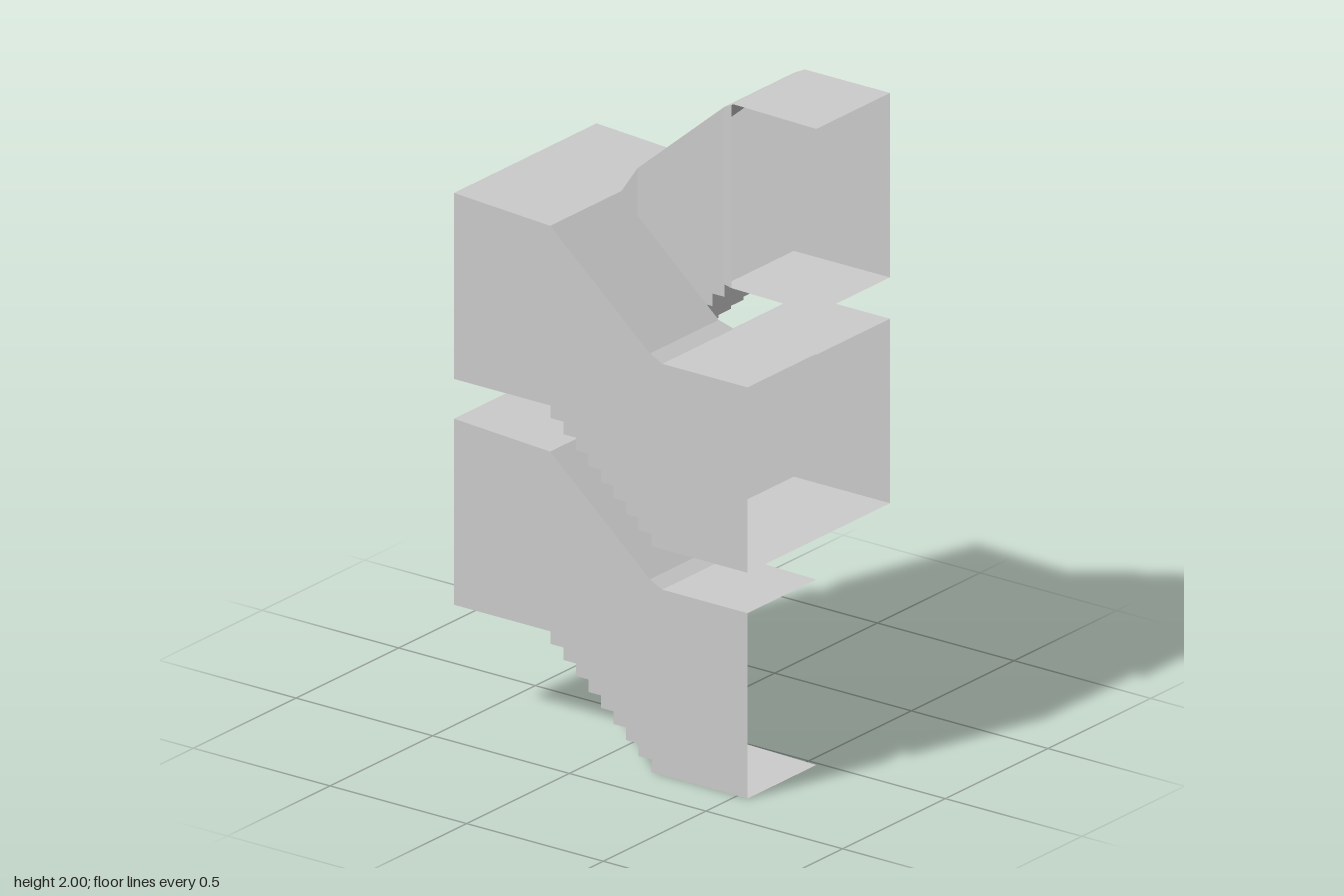
import * as THREE from 'three';

const material = new THREE.MeshStandardMaterial({ color: 0xcccccc, flatShading: true, side: THREE.DoubleSide });

const HALF_WIDTH = 0.347, END = 0.537;      // stairwell half width and half depth
const STEPS = 9, FOOT = 0.185, TREAD = 0.046, RISE = 0.355 / STEPS;
const STOREY = 0.71;

// Ceiling lines as [z, y], from back to front
const CEILING = {
  left: [[-END, 0.94], [-0.185, 0.92], [0.18, 0.605], [0.225, 0.583], [END, 0.583]],
  right: [[-END, 0.94], [-0.185, 0.92], [-0.135, 1.0], [0.185, 1.27], [0.225, 1.29], [END, 1.29]],
};
// Half width of the slit between the flights, with pointed ends
const SLIT = [[-END, 0], [-0.185, 0], [-0.135, 0.012], [0.18, 0.012], [0.217, 0], [END, 0]];
// Sideways drift of the dividing line on the front landings
const DRIFT = [[-END, 0], [0.217, 0], [END, -0.012]];

// Linear interpolation along a list of [z, value]
function along(line, z) {
  for (let i = 1; i < line.length; i++) {
    const [z0, v0] = line[i - 1], [z1, v1] = line[i];
    if (z <= z1) return v0 + (v1 - v0) * Math.max(0, (z - z0) / (z1 - z0));
  }
  return line[line.length - 1][1];
}

// One mesh from a list of four-cornered faces
function quadMesh(name, quads) {
  const positions = quads.flatMap(([a, b, c, d]) => [a, b, c, a, c, d].flat());
  const geometry = new THREE.BufferGeometry();
  geometry.setAttribute('position', new THREE.Float32BufferAttribute(positions, 3));
  geometry.computeVertexNormals();
  const mesh = new THREE.Mesh(geometry, material);
  mesh.name = name;
  return mesh;
}

// One flight with its half landings; left climbs to the back, right to the front
function createFlight(side) {
  const sign = side === 'left' ? -1 : 1;
  const outer = sign * HALF_WIDTH;
  const inner = z => sign * along(SLIT, z) + along(DRIFT, z);
  const ceiling = z => along(CEILING[side], z);

  const risers = Array.from({ length: STEPS }, (_, i) => FOOT - i * TREAD);
  const floor = z => {
    const passed = risers.filter(r => r > z).length;
    return RISE * (side === 'left' ? passed : 2 * STEPS - passed);
  };

  // Every z where a floor, ceiling or wall changes
  const cuts = [...new Set([...risers, ...CEILING[side].map(p => p[0]), ...SLIT.map(p => p[0])])]
    .sort((a, b) => a - b);

  const treads = [], riserFaces = [], roof = [], outerWall = [], innerWall = [];
  for (let i = 1; i < cuts.length; i++) {
    const z0 = cuts[i - 1], z1 = cuts[i];
    const y = floor((z0 + z1) / 2), c0 = ceiling(z0), c1 = ceiling(z1);
    const x0 = inner(z0), x1 = inner(z1);
    treads.push([[outer, y, z0], [outer, y, z1], [x1, y, z1], [x0, y, z0]]);
    roof.push([[outer, c0, z0], [outer, c1, z1], [x1, c1, z1], [x0, c0, z0]]);
    outerWall.push([[outer, y, z0], [outer, y, z1], [outer, c1, z1], [outer, c0, z0]]);
    // The wall beside the flight stops at the landings
    if (z0 > -0.19 && z1 < 0.22) {
      innerWall.push([[x0, y, z0], [x1, y, z1], [x1, c1, z1], [x0, c0, z0]]);
    }
  }
  for (const z of risers) {
    const a = floor(z - 0.001), b = floor(z + 0.001), x = inner(z);
    riserFaces.push([[outer, a, z], [x, a, z], [x, b, z], [outer, b, z]]);
  }
  const low = floor(-END), high = ceiling(-END);
  const backWall = [[[outer, low, -END], [0, low, -END], [0, high, -END], [outer, high, -END]]];

  const flight = new THREE.Group();
  flight.name = side + 'Flight';
  flight.add(
    quadMesh('treadsAndLandings', treads),
    quadMesh('risers', riserFaces),
    quadMesh('ceiling', roof),
    quadMesh('outerWall', outerWall),
    quadMesh('innerWall', innerWall),
    quadMesh('backWall', backWall),
  );
  return flight;
}

export function createModel() {
  const model = new THREE.Group();
  model.name = 'stairwell';
  for (let level = 0; level < 2; level++) {
    const storey = new THREE.Group();
    storey.name = 'storey' + (level + 1);
    storey.add(createFlight('left'), createFlight('right'));
    storey.position.y = level * STOREY;
    model.add(storey);
  }
  return model;
}
